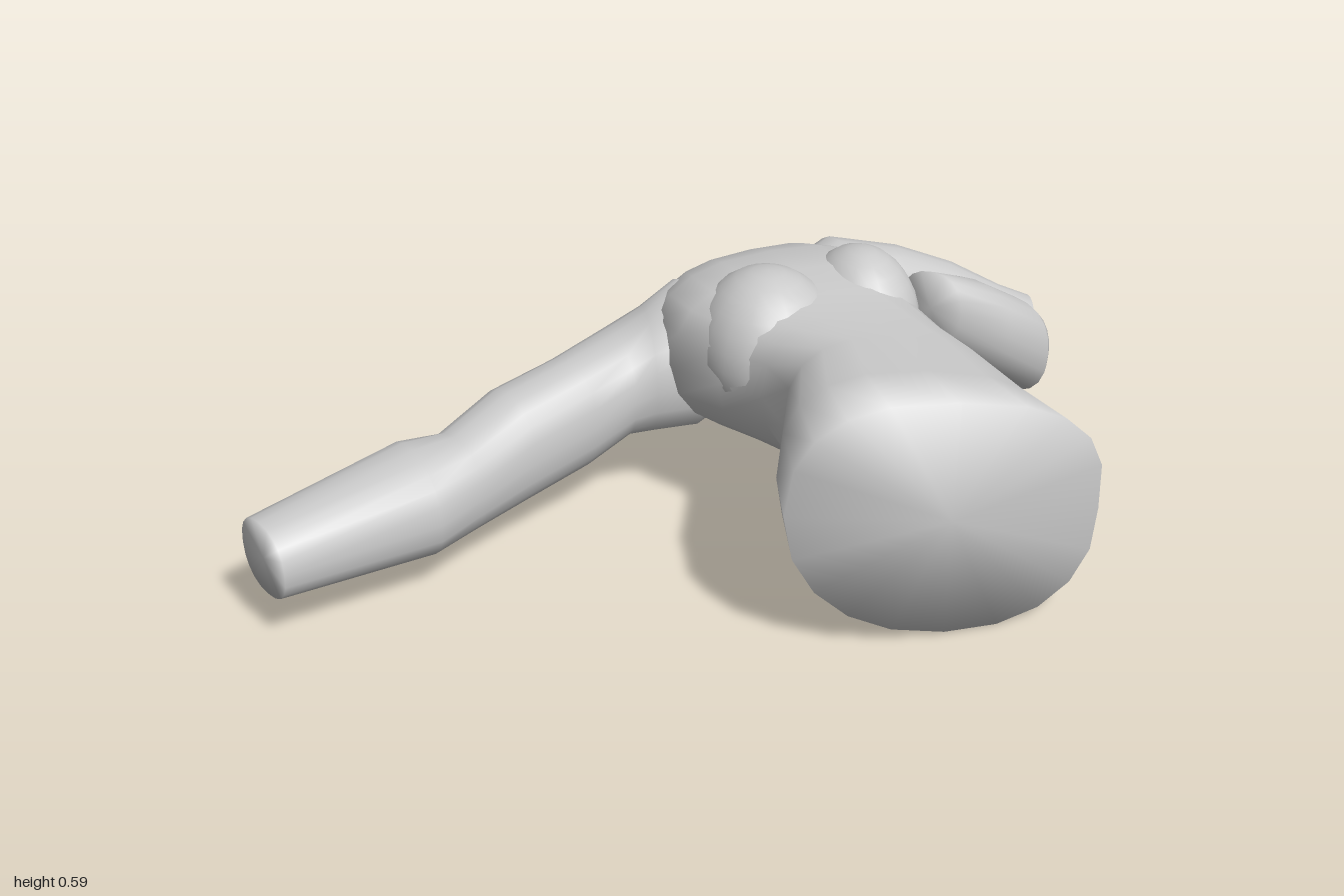
import * as THREE from 'three';

const material = new THREE.MeshStandardMaterial({ color: 0xcccccc });
const SEG = 20;

// Superellipse coordinate: keeps the sign, squares the section off as n grows
const soft = (v, n) => Math.sign(v) * Math.pow(Math.abs(v), 2 / n);

// Closed loft through sections [xa, za, xb, zb, bottom, top, roll, bow]:
// a and b are the two side edges seen from above, roll lifts edge a and lowers
// edge b, bow pushes the section's top and bottom along z.
function loft(rings, nTop, nBottom) {
  const pos = [], index = [];
  for (const [xa, za, xb, zb, y0, y1, roll = 0, bow = 0] of rings) {
    for (let j = 0; j < SEG; j++) {
      const t = (j / SEG) * Math.PI * 2;
      const n = Math.sin(t) > 0 ? nTop : nBottom;
      const c = soft(Math.cos(t), n), s = soft(Math.sin(t), n);
      const k = (1 - c) / 2;
      pos.push(xa + (xb - xa) * k, (y0 + y1) / 2 + (s * (y1 - y0)) / 2 + roll * c,
        za + (zb - za) * k + bow * Math.abs(s));
    }
  }
  for (let i = 0; i < rings.length - 1; i++) {
    for (let j = 0; j < SEG; j++) {
      const a = i * SEG + j, b = i * SEG + ((j + 1) % SEG);
      index.push(a, b, a + SEG, b, b + SEG, a + SEG);
    }
  }
  // Ends share the rim, so the shading rolls over softly
  [0, rings.length - 1].forEach((i) => {
    const [xa, za, xb, zb, y0, y1, , bow = 0] = rings[i];
    const centre = pos.length / 3;
    pos.push((xa + xb) / 2, (y0 + y1) / 2, (za + zb) / 2 + bow);
    for (let j = 0; j < SEG; j++) {
      const a = i * SEG + j, b = i * SEG + ((j + 1) % SEG);
      if (i) index.push(centre, a, b);
      else index.push(centre, b, a);
    }
  });
  const g = new THREE.BufferGeometry();
  g.setAttribute('position', new THREE.Float32BufferAttribute(pos, 3));
  g.setIndex(index);
  g.computeVertexNormals();
  return g;
}

export function createModel() {
  const model = new THREE.Group();
  model.name = 'recliningTorso';
  const add = (name, geometry) => {
    const mesh = new THREE.Mesh(geometry, material);
    mesh.name = name;
    model.add(mesh);
    return mesh;
  };

  // Torso from the hips, over the waist, to the shoulders
  add('torso', loft([
    [0.015, 0.52, 0.705, 0.52, 0.01, 0.545, 0.05, 0.035],
    [0.04, 0.40, 0.665, 0.40, 0.05, 0.54, 0.05],
    [0.11, 0.24, 0.615, 0.22, 0.125, 0.535, 0.04],
    [0.10, 0.13, 0.575, 0.10, 0.16, 0.535, 0.03],
    [0.03, 0.04, 0.55, -0.03, 0.17, 0.545, 0.02],
    [-0.04, -0.07, 0.545, -0.14, 0.165, 0.56, 0.01],
    [-0.05, -0.20, 0.53, -0.27, 0.16, 0.55],
    [-0.03, -0.30, 0.52, -0.38, 0.16, 0.51],
    [0.00, -0.37, 0.50, -0.47, 0.18, 0.475],
    [0.03, -0.41, 0.47, -0.53, 0.21, 0.445],
    [0.07, -0.435, 0.45, -0.555, 0.25, 0.40],
  ], 2.7, 2.2));

  // Breasts, broad and sunk deep into the chest
  [['rightBreast', 0.17, 0.41, -0.05, 0.165, 0.18, 0.18],
    ['leftBreast', 0.415, 0.405, -0.125, 0.135, 0.175, 0.165]].forEach(([name, x, y, z, rx, ry, rz]) => {
    const m = add(name, new THREE.SphereGeometry(1, 20, 14));
    m.position.set(x, y, z);
    m.scale.set(rx, ry, rz);
  });

  // Right arm, stretched out to the side
  add('rightArm', loft([
    [0.16, -0.12, 0.16, -0.36, 0.23, 0.42],
    [0.03, -0.06, 0.04, -0.41, 0.165, 0.485],
    [-0.07, -0.09, -0.05, -0.36, 0.16, 0.44],
    [-0.12, -0.09, -0.15, -0.33, 0.165, 0.405],
    [-0.22, -0.05, -0.30, -0.24, 0.13, 0.385],
    [-0.37, 0.01, -0.45, -0.19, 0.10, 0.355],
    [-0.50, 0.07, -0.58, -0.11, 0.085, 0.305],
    [-0.60, 0.15, -0.67, -0.11, 0.08, 0.31],
    [-0.93, 0.245, -1.00, 0.09, 0.11, 0.28],
  ], 2.3, 2.3));

  // Left upper arm, running out to the elbow
  add('leftUpperArm', loft([
    [0.28, -0.46, 0.30, -0.28, 0.25, 0.40],
    [0.46, -0.555, 0.50, -0.31, 0.175, 0.465],
    [0.65, -0.53, 0.62, -0.31, 0.145, 0.43],
    [0.82, -0.525, 0.75, -0.35, 0.11, 0.36],
    [0.93, -0.47, 0.88, -0.33, 0.075, 0.30],
    [0.995, -0.44, 0.97, -0.32, 0.13, 0.27],
  ], 2.3, 2.3));

  // Left forearm, from the raised wrist back down to the elbow
  add('leftForearm', loft([
    [0.56, -0.23, 0.67, -0.12, 0.29, 0.475],
    [0.70, -0.35, 0.82, -0.15, 0.165, 0.405],
    [0.84, -0.40, 0.95, -0.20, 0.07, 0.32],
    [0.94, -0.42, 0.99, -0.27, 0.07, 0.26],
  ], 2.3, 2.3));

  return model;
}
